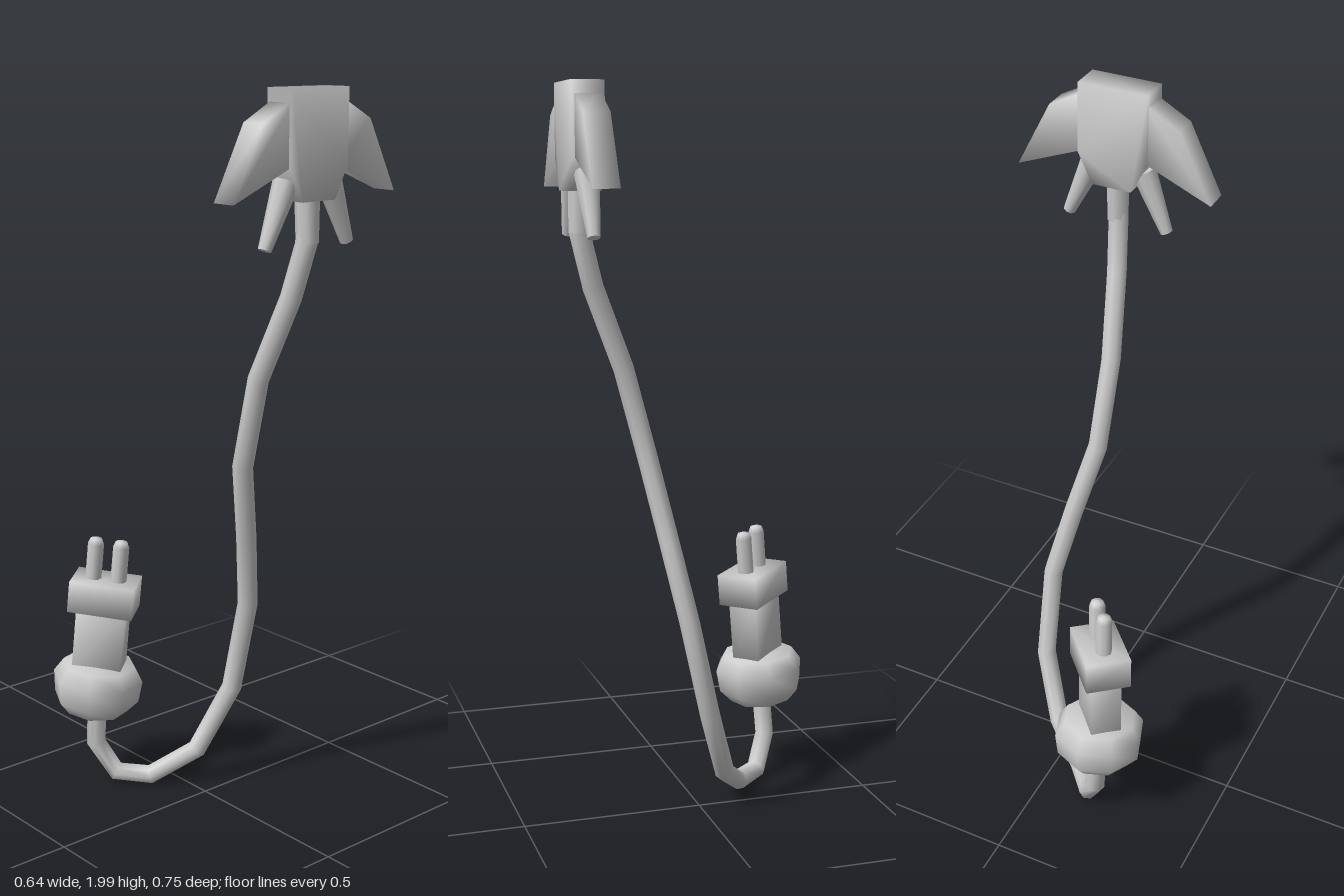
import * as THREE from 'three';
import { mergeVertices } from 'three/addons/utils/BufferGeometryUtils.js';

const material = new THREE.MeshStandardMaterial({ color: 0xcccccc });

// Share vertices so that shading runs smoothly over the edges.
function smooth(geometry) {
  geometry.deleteAttribute('uv');
  geometry.deleteAttribute('normal');
  const g = mergeVertices(geometry, 1e-4);
  g.computeVertexNormals();
  return g;
}

function add(parent, name, geometry) {
  const mesh = new THREE.Mesh(geometry, material);
  mesh.name = name;
  parent.add(mesh);
  return mesh;
}

// Flat plate extruded along z, centred on z = 0.
function plate(points, depth) {
  const shape = new THREE.Shape(points.map(p => new THREE.Vector2(...p)));
  const g = new THREE.ExtrudeGeometry(shape, { depth, bevelEnabled: false });
  return smooth(g.translate(0, 0, -depth / 2));
}

// Tapered rod between two points.
function rod(parent, name, a, b, ra, rb) {
  const from = new THREE.Vector3(...a), dir = new THREE.Vector3(...b).sub(from);
  const mesh = add(parent, name, new THREE.CylinderGeometry(rb, ra, dir.length(), 8));
  mesh.position.copy(from).addScaledVector(dir, 0.5);
  mesh.quaternion.setFromUnitVectors(new THREE.Vector3(0, 1, 0), dir.normalize());
  return mesh;
}

export function createModel() {
  const model = new THREE.Group();

  // Fin-shaped head at the top of the cord
  const head = new THREE.Group();
  head.name = 'head';
  head.position.set(0.045, 0, 0.333);
  model.add(head);
  add(head, 'headBody', plate([
    [-0.097, 2], [-0.097, 1.81], [-0.055, 1.727], [0.055, 1.727], [0.097, 1.81], [0.097, 2],
  ], 0.085));
  for (const s of [-1, 1]) {
    const side = s > 0 ? 'left' : 'right';
    const outline = [[0.08, 1.975], [0.182, 1.92], [0.275, 1.735], [0.075, 1.818]];
    add(head, side + 'Fin', plate(outline.map(([x, y]) => [s * x, y]), 0.07));
    rod(head, side + 'Spike', [s * 0.072, 1.775, 0], [s * 0.142, 1.613, 0], 0.034, 0.017);
  }
  rod(head, 'cordCollar', [0, 1.74, 0], [0, 1.62, 0.003], 0.032, 0.029);

  // Cord, with one ring at each listed point
  const path = [
    [0.045, 1.73, 0.335], [0.043, 1.62, 0.335], [0.028, 1.48, 0.298],
    [0, 1.26, 0.21], [0.006, 1.01, 0.145], [0.06, 0.79, 0.102],
    [0.105, 0.58, 0.06], [0.1, 0.31, 0.0], [0.025, 0.115, -0.067],
    [-0.085, 0.04, -0.145], [-0.15, 0.043, -0.222], [-0.192, 0.135, -0.263], [-0.193, 0.29, -0.25],
  ].map(p => new THREE.Vector3(...p));
  const curve = new THREE.CatmullRomCurve3(path);
  curve.getPointAt = (t, target) => curve.getPoint(t, target);
  curve.getTangentAt = (t, target) => curve.getTangent(t, target);
  add(model, 'cord', new THREE.TubeGeometry(curve, path.length - 1, 0.028, 8));

  // Plug: turned about its own axis, then leaned slightly
  const plug = new THREE.Group();
  plug.name = 'plug';
  plug.position.set(-0.195, 0.318, -0.247);
  const lean = new THREE.Vector3(0.045, 1, 0.09).normalize();
  plug.quaternion.setFromUnitVectors(new THREE.Vector3(0, 1, 0), lean)
    .multiply(new THREE.Quaternion().setFromAxisAngle(new THREE.Vector3(0, 1, 0), -0.863));
  model.add(plug);

  // Rounded octagonal grip
  const profile = [
    [0, -0.078], [0.09, -0.072], [0.122, -0.035], [0.129, 0.028], [0.103, 0.068], [0, 0.074],
  ].map(p => new THREE.Vector2(...p));
  add(plug, 'grip', smooth(new THREE.LatheGeometry(profile, 8))).rotation.y = 0.02;

  // Neck and face block
  add(plug, 'neck', smooth(new THREE.BoxGeometry(0.14, 0.19, 0.085))).position.y = 0.15;
  add(plug, 'faceBlock', smooth(new THREE.BoxGeometry(0.183, 0.09, 0.124))).position.y = 0.281;

  // Contact pins with rounded tips
  for (const s of [-1, 1]) {
    const pin = [[0.023, 0], [0.023, 0.122], [0.017, 0.137], [0, 0.142]];
    const geometry = new THREE.LatheGeometry(pin.map(p => new THREE.Vector2(...p)), 8);
    add(plug, s > 0 ? 'firstPin' : 'secondPin', geometry).position.set(s * 0.036, 0.305, 0);
  }
  return model;
}
